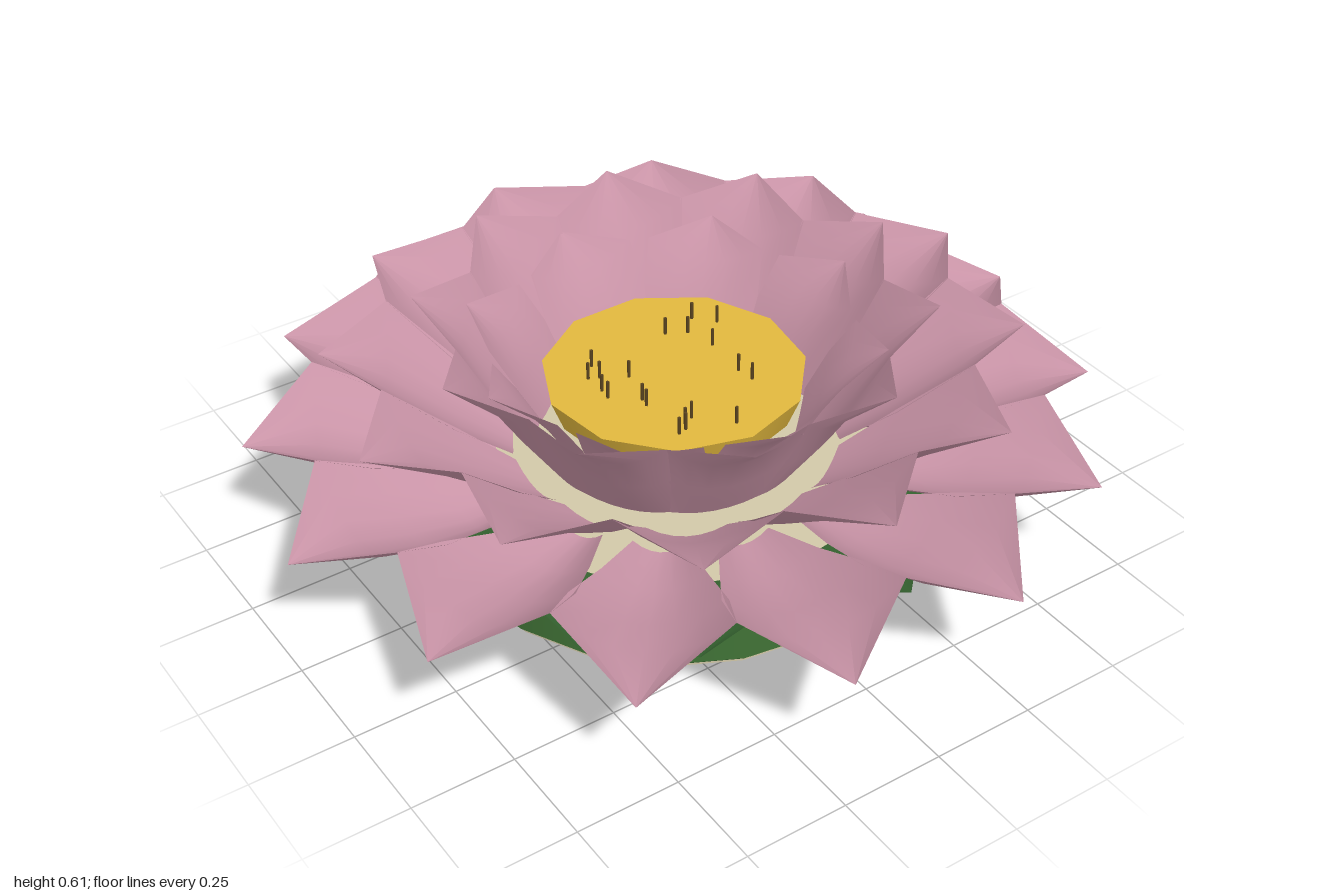
import * as THREE from 'three';

const mat = (name, color, side = THREE.FrontSide) => {
  const m = new THREE.MeshStandardMaterial({ color, side });
  m.name = name;
  return m;
};

// Cupped petal pointing along +z; rows are [radius, centre height, half width, edge lift]
function petalGeometry(rows) {
  const cols = 6, pos = [], idx = [];
  rows.forEach(([r, y, w, lift], i) => {
    for (let j = 0; j <= cols; j++) {
      const v = (j / cols) * 2 - 1;
      pos.push(v * w, y + lift * v * v, r);
      if (i < rows.length - 1 && j < cols) {
        const a = i * (cols + 1) + j, b = a + cols + 1;
        idx.push(a, b, a + 1, b, b + 1, a + 1);
      }
    }
  });
  const g = new THREE.BufferGeometry();
  g.setAttribute('position', new THREE.Float32BufferAttribute(pos, 3));
  g.setIndex(idx);
  g.computeVertexNormals();
  return g;
}

function ring(name, count, rows, material) {
  const group = new THREE.Group();
  group.name = name + 'Ring';
  const geo = petalGeometry(rows);
  for (let i = 0; i < count; i++) {
    const m = new THREE.Mesh(geo, material);
    m.name = name;
    m.rotation.y = Math.PI / 2 + (i / count) * Math.PI * 2;
    group.add(m);
  }
  return group;
}

export function createModel() {
  const model = new THREE.Group();
  model.name = 'lotusFloat';
  const pink = mat('petalPink', 0xc893a6, THREE.DoubleSide);
  const leafGreen = mat('leafGreen', 0x33602e, THREE.DoubleSide);
  const bandGreen = mat('bandGreen', 0x407236, THREE.DoubleSide);
  const cream = mat('stemCream', 0xd2c8a8);
  const yellow = mat('centreYellow', 0xe2b83e);
  const brown = mat('stamenBrown', 0x5a4420);
  const add = (name, geo, material, y) => {
    const m = new THREE.Mesh(geo, material);
    m.name = name;
    m.position.y = y;
    model.add(m);
    return m;
  };

  // Cream base slice with a wrapped green band
  add('baseSlice', new THREE.CylinderGeometry(0.558, 0.55, 0.195, 20), cream, 0.0975);
  add('baseBand', new THREE.CylinderGeometry(0.565, 0.565, 0.165, 20, 1, true), bandGreen, 0.1025);
  add('bandHem', new THREE.CylinderGeometry(0.565, 0.553, 0.012, 20, 1, true), bandGreen, 0.014);

  // Tilted pins holding the band
  for (let i = 0; i < 6; i++) {
    const pivot = new THREE.Group();
    pivot.name = 'pinMount';
    pivot.rotation.y = THREE.MathUtils.degToRad(17 + i * 60);
    const pin = new THREE.Mesh(new THREE.CylinderGeometry(0.007, 0.007, 0.105, 6), cream);
    pin.name = 'pin';
    pin.position.set(0, 0.11, 0.565);
    pin.rotation.z = -0.24;
    pivot.add(pin);
    model.add(pivot);
  }

  // Leaf collar and four tiers of petals
  model.add(ring('collarLeaf', 18, [
    [0.5, 0.2, 0.1, 0.015], [0.66, 0.188, 0.118, 0.036], [0.74, 0.203, 0, 0]], leafGreen));
  model.add(ring('outerPetal', 14, [
    [0.42, 0.222, 0.06, 0.03], [0.56, 0.228, 0.115, 0.06], [0.7, 0.255, 0.168, 0.085],
    [0.83, 0.295, 0.19, 0.1], [1, 0.308, 0, 0]], pink));
  model.add(ring('middlePetal', 12, [
    [0.38, 0.235, 0.09, 0.03], [0.5, 0.315, 0.142, 0.06],
    [0.66, 0.435, 0.178, 0.09], [0.81, 0.505, 0, 0]], pink));
  model.add(ring('upperPetal', 10, [
    [0.32, 0.25, 0.105, 0.02], [0.41, 0.385, 0.14, 0.05],
    [0.48, 0.5, 0.158, 0.075], [0.6, 0.61, 0, 0]], pink));
  model.add(ring('innerPetal', 8, [
    [0.29, 0.3, 0.12, 0.02], [0.34, 0.385, 0.14, 0.035],
    [0.4, 0.465, 0.14, 0.05], [0.49, 0.54, 0, 0]], pink));

  // Flower centre with scattered stamens
  add('flowerCentre', new THREE.CylinderGeometry(0.31, 0.28, 0.08, 11), yellow, 0.38);
  let seed = 7;
  const rand = () => (seed = (seed * 16807) % 2147483647) / 2147483647;
  const stamenGeo = new THREE.CylinderGeometry(0.004, 0.004, 0.05, 5);
  for (let i = 0; i < 20; i++) {
    const a = rand() * Math.PI * 2, r = 0.1 + rand() * 0.16;
    const s = add('stamen', stamenGeo, brown, 0.44);
    s.position.x = r * Math.sin(a);
    s.position.z = r * Math.cos(a);
  }
  return model;
}
